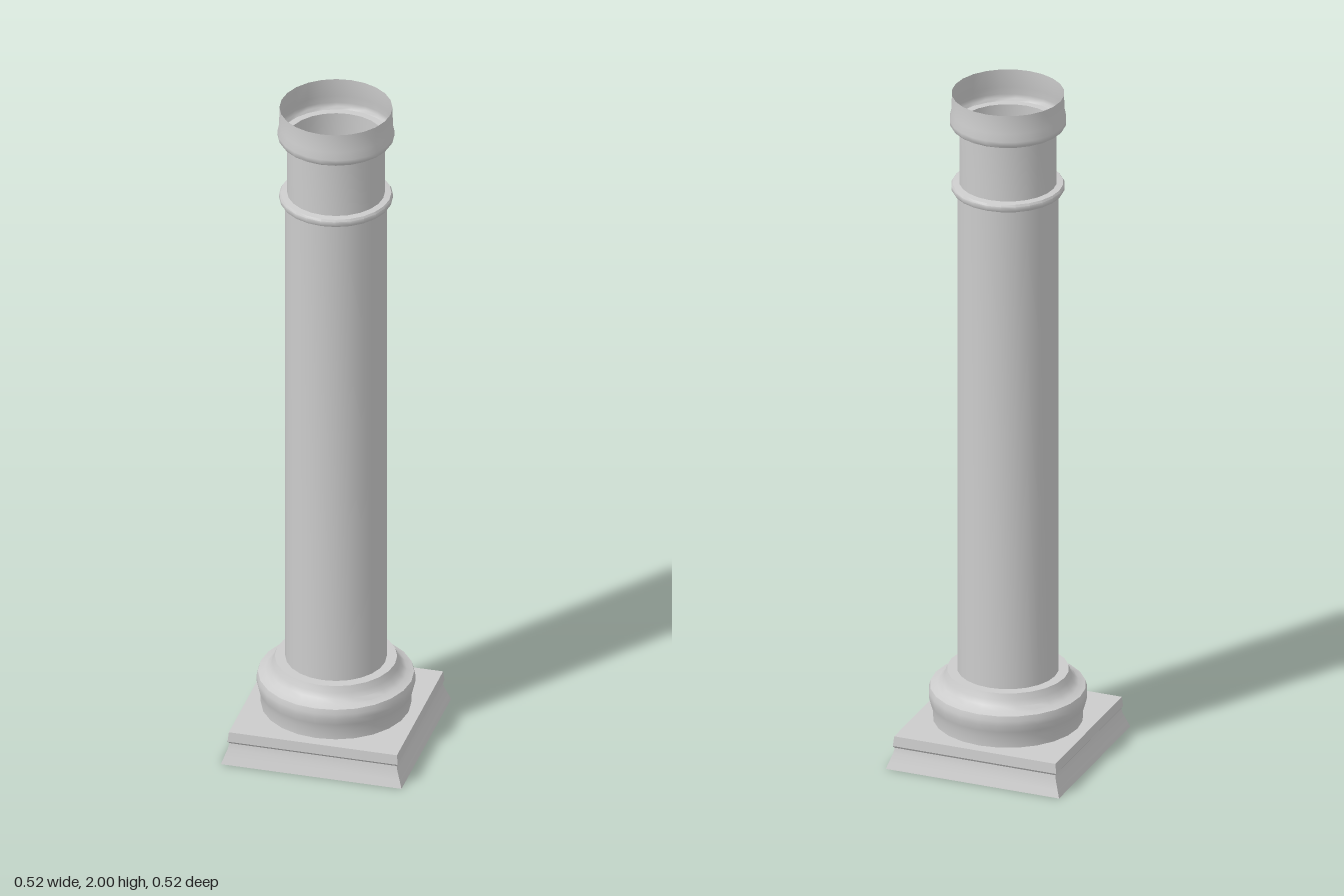
import * as THREE from 'three';
import { toCreasedNormals } from 'three/addons/utils/BufferGeometryUtils.js';

const SIDES = 24;
const material = new THREE.MeshStandardMaterial({ color: 0xcccccc, side: THREE.DoubleSide });

// Revolves [radius, height] pairs listed from bottom to top
function turned(name, profile, sides = SIDES, crease = 0.6) {
  const points = profile.map(([r, y]) => new THREE.Vector2(r, y));
  const geometry = toCreasedNormals(new THREE.LatheGeometry(points, sides), crease);
  const mesh = new THREE.Mesh(geometry, material);
  mesh.name = name;
  return mesh;
}

export function createModel() {
  const column = new THREE.Group();
  column.name = 'column';

  // Square plinth: flared skirt, open below, closed by a flat top
  const halfWidths = [[0.26, 0], [0.253, 0.02], [0.244, 0.045], [0.241, 0.06], [0.245, 0.066], [0.242, 0.095], [0, 0.095]];
  const plinth = turned('plinth', halfWidths.map(([w, y]) => [w * Math.SQRT2, y]), 4);
  plinth.geometry.rotateY(Math.PI / 4);
  column.add(plinth);

  // Round base moulding: bulge below, hollow curve above
  column.add(turned('baseMoulding', [
    [0.209, 0.095], [0.21, 0.125], [0.216, 0.145], [0.221, 0.165], [0.221, 0.18],
    [0.217, 0.194], [0.197, 0.2], [0.185, 0.21], [0.177, 0.225], [0.17, 0.243], [0.14, 0.243],
  ]));

  // Hollow shaft and the narrower neck
  column.add(turned('shaft', [[0.141, 0.243], [0.141, 1.708]]));
  column.add(turned('neck', [[0.136, 1.728], [0.136, 1.903]]));

  // Thin ring between shaft and neck
  column.add(turned('neckRing', [
    [0.141, 1.703], [0.154, 1.705], [0.158, 1.712], [0.158, 1.722], [0.154, 1.728], [0.136, 1.73],
  ]));

  // Open cup at the top
  column.add(turned('capital', [
    [0.136, 1.903], [0.157, 1.903], [0.162, 1.91], [0.163, 1.922], [0.158, 1.945], [0.157, 2],
  ]));

  return column;
}
